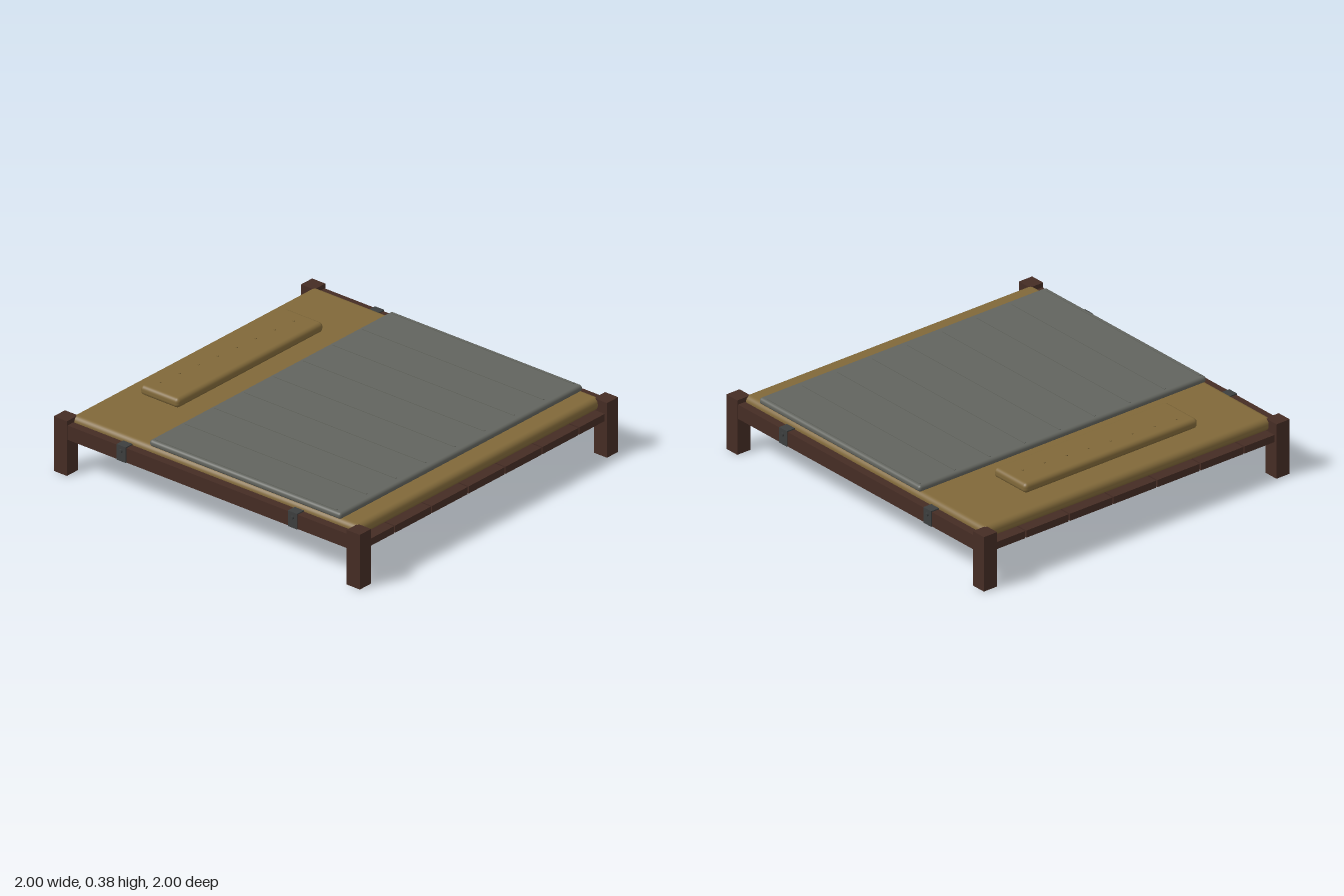
import * as THREE from 'three';
import { RoundedBoxGeometry } from 'three/addons/geometries/RoundedBoxGeometry.js';

function material(name, color) {
  const m = new THREE.MeshStandardMaterial({ color });
  m.name = name;
  return m;
}

export function createModel() {
  const bed = new THREE.Group();
  bed.name = 'bed';
  const wood = material('dark wood', 0x452c24);
  const straw = material('straw cloth', 0x806839);
  const wool = material('grey wool', 0x62645e);
  const iron = material('iron', 0x3c3e3e);

  const add = (name, geometry, mat, x, y, z) => {
    const mesh = new THREE.Mesh(geometry, mat);
    mesh.name = name;
    mesh.position.set(x, y, z);
    bed.add(mesh);
    return mesh;
  };
  // boxes are given by their min and max corners
  const box = (name, mat, a, b, radius = 0) => {
    const [w, h, d] = b.map((v, i) => v - a[i]);
    const geometry = radius
      ? new RoundedBoxGeometry(w, h, d, 3, radius)
      : new THREE.BoxGeometry(w, h, d);
    return add(name, geometry, mat, ...a.map((v, i) => (v + b[i]) / 2));
  };

  // corner posts
  for (const x of [-0.947, 0.947])
    for (const z of [-0.957, 0.957])
      box('post', wood, [x - 0.043, 0, z - 0.043], [x + 0.043, 0.305, z + 0.043]);

  // side rails with iron straps and rivets
  for (const s of [-1, 1]) {
    const rail = add('sideRail', new THREE.BoxGeometry(0.046, 0.08, 1.85), wood, s * 0.962, 0.24, 0);
    rail.name = s > 0 ? 'leftRail' : 'rightRail';
    for (const z of [-0.56, 0.56]) {
      add('strap', new THREE.BoxGeometry(0.052, 0.087, 0.06), iron, s * 0.964, 0.2425, z);
      const rivet = add('rivet', new THREE.CylinderGeometry(0.01, 0.01, 0.012, 10), iron, s * 0.994, 0.257, z);
      rivet.rotation.z = Math.PI / 2;
    }
  }

  // lengthwise planks under the mattress
  const pitch = 0.2825;
  for (let i = -3; i <= 3; i++)
    box('plank', wood, [i * pitch - 0.137, 0.2, -0.985], [i * pitch + 0.137, 0.24, 0.985]);

  // bedding
  box('mattress', straw, [-0.935, 0.24, -0.94], [0.935, 0.308, 0.94], 0.03);
  box('blanket', wool, [-0.93, 0.303, -0.43], [0.93, 0.339, 0.822], 0.016);
  box('pillow', straw, [-0.56, 0.322, -0.808], [0.56, 0.376, -0.555], 0.022);

  // blanket seams
  for (let i = -4; i <= 4; i++)
    box('blanketSeam', wool, [i * 0.2265 - 0.005, 0.335, -0.405], [i * 0.2265 + 0.005, 0.342, 0.78]);

  // small stitches across the pillow
  for (let i = 0; i < 8; i++) {
    const x = -0.47 + i * 0.134;
    add('pillowStitch', new THREE.BoxGeometry(0.008, 0.006, 0.008), straw, x, 0.377, -0.71 + x * 0.075);
  }
  return bed;
}
